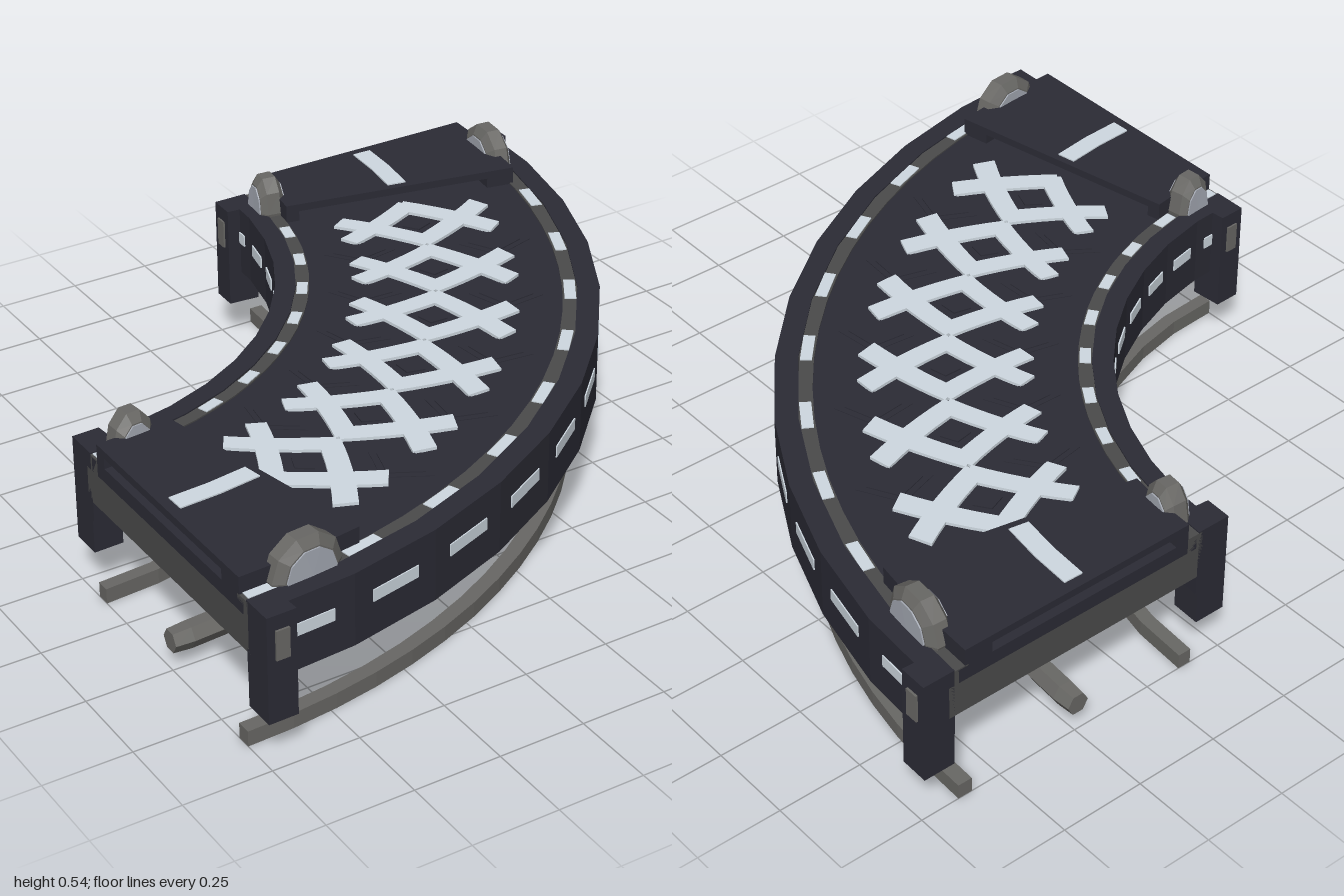
import * as THREE from 'three';

const RAD = Math.PI / 180;
const MID = 1.49; // centre-line radius of the curve
const STEP = 90 / 11; // angle of one wall segment

const mat = (name, color) => {
  const m = new THREE.MeshStandardMaterial({ color, flatShading: true });
  m.name = name;
  return m;
};

// Bends a straight piece (x along, z outward) round the corner pivot at (-1, -1)
function bend(geo, angle, radius) {
  const g = geo.index ? geo.toNonIndexed() : geo;
  const p = g.attributes.position;
  for (let i = 0; i < p.count; i++) {
    const a = angle * RAD + p.getX(i) / radius;
    const r = radius + p.getZ(i);
    p.setXYZ(i, -1 + r * Math.sin(a), p.getY(i), -1 + r * Math.cos(a));
  }
  g.computeVertexNormals();
  return g;
}

export function createModel() {
  const model = new THREE.Group();
  model.name = 'curvedConveyor';
  const navy = mat('darkNavy', 0x2b2b35);
  const grey = mat('steelGrey', 0x686764);
  const charcoal = mat('charcoal', 0x4a4a4a);
  const light = mat('paleBlueGrey', 0xced8e0);
  const glass = mat('lensGrey', 0xa4a9b3);

  const add = (name, geo, material, angle, radius) => {
    const mesh = new THREE.Mesh(bend(geo, angle, radius), material);
    mesh.name = name;
    model.add(mesh);
  };
  // Box between two angles (degrees), two heights and two radii
  const arc = (name, material, a0, a1, y0, y1, r0, r1, segs = 1) => {
    const r = (r0 + r1) / 2;
    const g = new THREE.BoxGeometry((a1 - a0) * RAD * r, y1 - y0, r1 - r0, segs, 1, 1);
    g.translate(0, (y0 + y1) / 2, 0);
    add(name, g, material, (a0 + a1) / 2, r);
  };

  // Body, belt and trim strips
  arc('underBody', charcoal, 0, 90, 0.29, 0.39, 1.07, 1.91, 22);
  arc('belt', navy, 0, 90, 0.39, 0.432, 1.1, 1.88, 22);
  arc('outerTrim', charcoal, 0, 90, 0.3, 0.436, 1.85, 1.9, 22);
  arc('innerTrim', charcoal, 0, 90, 0.3, 0.436, 1.08, 1.13, 22);

  // Side walls and the six-sided pipe, in eleven segments with a dash on each wall
  const pipeProfile = [[0, -0.5], [0.033, -0.5], [0.037, -0.25], [0.037, 0.25], [0.033, 0.5], [0, 0.5]]
    .map(([x, y]) => new THREE.Vector2(x, y * STEP * RAD * MID));
  for (let i = 0; i < 11; i++) {
    const a = (i + 0.5) * STEP;
    const a0 = i * STEP, a1 = a0 + STEP;
    arc('outerWall', navy, a0, a1, 0.23, 0.44, 1.893, 1.957);
    arc('innerWall', navy, a0, a1, 0.23, 0.44, 1.033, 1.092);
    arc('outerWallDash', light, a - 2.3, a + 2.3, 0.33, 0.365, 1.949, 1.957);
    arc('innerWallDash', light, a - 2.3, a + 2.3, 0.33, 0.365, 1.027, 1.035);
    const pipe = new THREE.LatheGeometry(pipeProfile, 6);
    pipe.rotateZ(-Math.PI / 2);
    pipe.translate(0, 0.085, 0);
    add('centrePipe', pipe, grey, a, MID);
  }
  // Pale dashes along the trim
  for (let i = 0; i < 10; i++) {
    const a = 2 + i * 9.15;
    arc('outerTrimDash', light, a - 1.7, a + 1.7, 0.433, 0.439, 1.855, 1.888);
    arc('innerTrimDash', light, a - 1.7, a + 1.7, 0.433, 0.439, 1.095, 1.126);
  }

  // Belt pattern: six diamonds whose bars run on past the crossings
  const bar = (a, t0, z0, t1, z1) => {
    const x0 = t0 * RAD * MID, x1 = t1 * RAD * MID;
    const dx = x1 - x0, dz = z1 - z0;
    const g = new THREE.BoxGeometry(Math.hypot(dx, dz), 0.009, 0.062, 6, 1, 1);
    g.rotateY(-Math.atan2(dz, dx));
    g.translate((x0 + x1) / 2, 0.4375, (z0 + z1) / 2);
    add('beltMark', g, light, a, MID);
  };
  const diamond = (name, a, z, size, stretch, top) => {
    const g = new THREE.CylinderGeometry(size, size, 0.006, 4);
    g.scale(1, 1, stretch);
    g.translate(0, top - 0.003, z);
    add(name, g, navy, a, MID);
  };
  for (let i = 0; i < 6; i++) {
    const a = 45 + 11.1 * (i - 2.5);
    for (const s of [-1, 1])
      for (const v of [-1, 1]) bar(a, s * 2.8, v * 0.22, -s * 4.7, -v * 0.012);
    diamond('centreStud', a, 0, 0.032, 1.3, 0.436);
    if (i < 5)
      for (const s of [-1, 1]) {
        diamond('beltLozenge', a + 5.55, s * 0.2, 0.075, 1.4, 0.434);
        diamond('beltLozengeTop', a + 5.55, s * 0.2, 0.055, 1.4, 0.437);
      }
  }

  // Parts repeated at both ends
  for (const end of [0, 1]) {
    const at = a => (end ? 90 - a : a);
    const span = (name, m, a0, a1, ...rest) =>
      arc(name, m, Math.min(at(a0), at(a1)), Math.max(at(a0), at(a1)), ...rest);

    // Bridge plate on two skirts, with a centre line
    span('endPlate', navy, 0, 11.25, 0.463, 0.486, 1.13, 1.86, 2);
    span('innerSkirt', navy, 0, 11.25, 0.42, 0.464, 1.13, 1.17, 2);
    span('outerSkirt', navy, 0, 11.25, 0.42, 0.464, 1.775, 1.86, 2);
    span('endPlateLine', light, 1.2, 10.4, 0.484, 0.49, 1.46, 1.518, 2);

    for (const side of [{ post: 1.038, lamp: 1.11, out: -1 }, { post: 1.942, lamp: 1.86, out: 1 }]) {
      // Corner post with a small grey plate on its outward face
      const post = new THREE.BoxGeometry(0.083, 0.31, 0.094);
      post.translate(0, 0.285, 0);
      const a = at(0.0415 / side.post / RAD);
      add('cornerPost', post, navy, a, side.post);
      const plate = new THREE.BoxGeometry(0.038, 0.085, 0.009);
      plate.translate(0, 0.355, side.out * 0.0485);
      add('postPlate', plate, grey, a, side.post);

      // Round beacon with a pale lens on each face
      const profile = [[0, -0.037], [0.078, -0.037], [0.106, -0.02], [0.106, 0.02], [0.078, 0.037], [0, 0.037]]
        .map(([x, y]) => new THREE.Vector2(x, y));
      const lens = new THREE.CylinderGeometry(0.074, 0.074, 0.082, 10);
      const shape = g => {
        g.rotateY(Math.PI / 10);
        g.rotateX(Math.PI / 2);
        g.scale(side.lamp / 1.86, 1, 1);
        return g.translate(0, 0.444, 0);
      };
      add('beacon', shape(new THREE.LatheGeometry(profile, 10)), grey, at(5.7), side.lamp);
      add('beaconLens', shape(lens), glass, at(5.7), side.lamp);
    }
  }

  // Ground rails
  arc('outerRail', grey, 0, 90, 0, 0.045, 1.84, 1.883, 22);
  arc('innerRail', grey, 0, 90, 0, 0.045, 1.1, 1.14, 11);

  return model;
}
